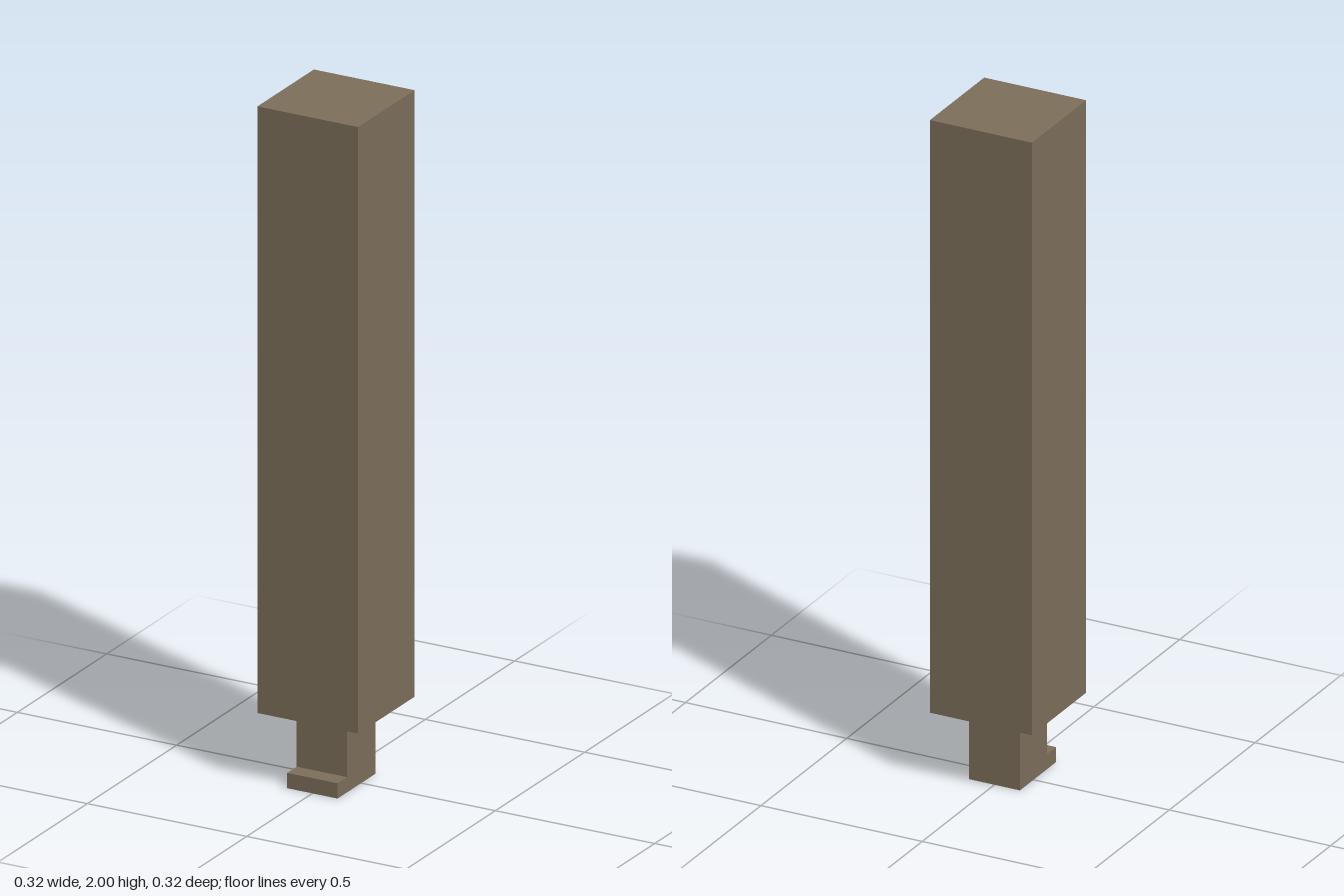
import * as THREE from 'three';

export function createModel() {
  const model = new THREE.Group();
  const brown = new THREE.MeshStandardMaterial({ color: 0x7d6f5b });
  brown.name = 'dull brown';

  // Tall square block
  const bottom = 0.215, top = 2, width = 0.316;
  const block = new THREE.Mesh(new THREE.BoxGeometry(width, top - bottom, width), brown);
  block.name = 'block';
  block.position.y = (top + bottom) / 2;
  model.add(block);

  // Narrow leg with a toe at the front: an L profile (z, y) extruded across x
  const half = 0.079, toeZ = 0.132, toeTop = 0.045;
  const profile = new THREE.Shape([
    [-half, 0], [toeZ, 0], [toeZ, toeTop], [half, toeTop], [half, bottom], [-half, bottom],
  ].map(([z, y]) => new THREE.Vector2(z, y)));
  const legGeometry = new THREE.ExtrudeGeometry(profile, { depth: half * 2, bevelEnabled: false });
  legGeometry.translate(0, 0, -half).rotateY(-Math.PI / 2);
  const leg = new THREE.Mesh(legGeometry, brown);
  leg.name = 'legWithToe';
  model.add(leg);

  return model;
}
